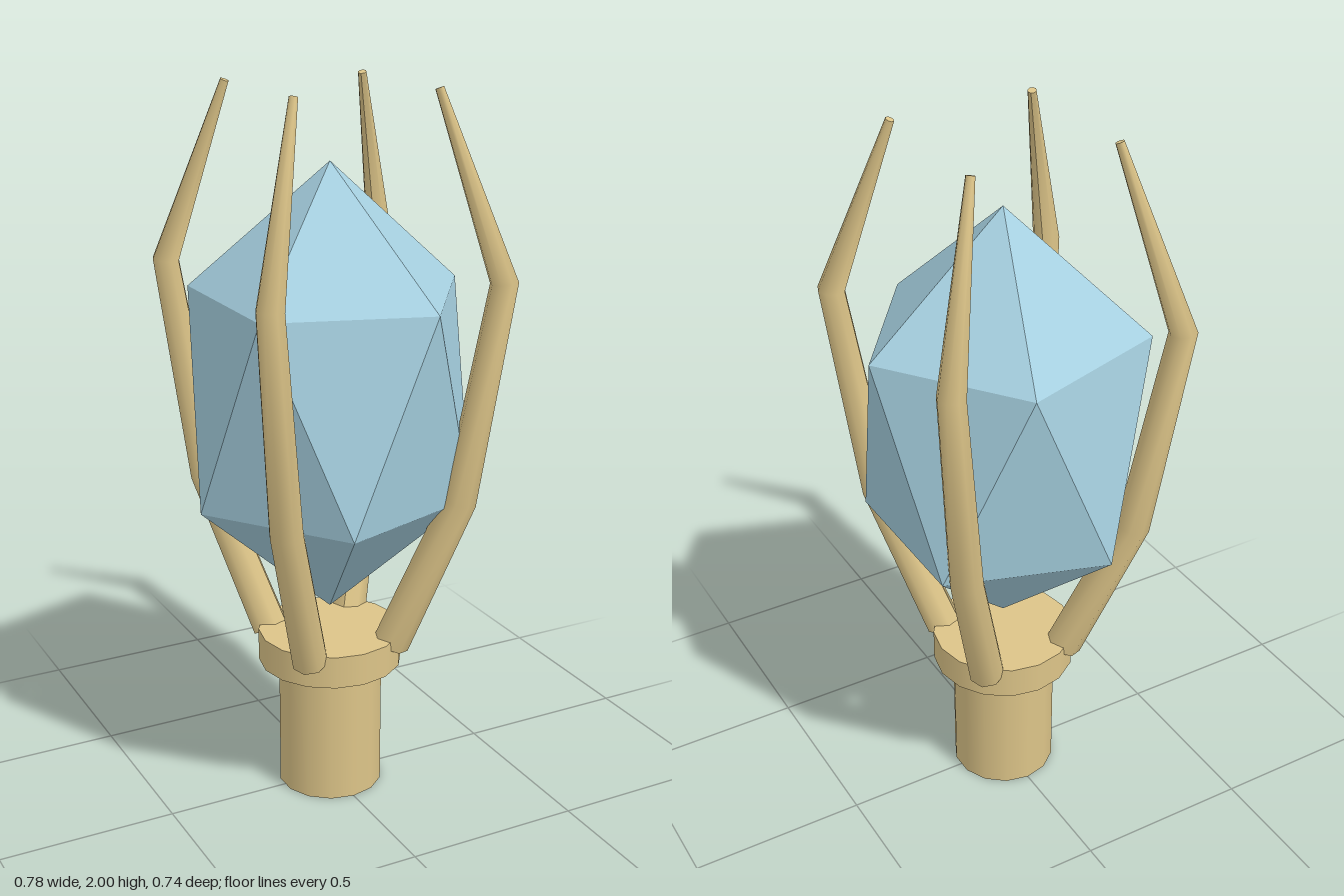
import * as THREE from 'three';

const gold = new THREE.MeshStandardMaterial({ color: 0xdcc488 });
gold.name = 'pale gold';
const blue = new THREE.MeshStandardMaterial({ color: 0xa6d0e0 });
blue.name = 'ice blue';

function addMesh(parent, name, geometry, material) {
  const mesh = new THREE.Mesh(geometry, material);
  mesh.name = name;
  parent.add(mesh);
  return mesh;
}

// Stretched icosahedron: two staggered rings of five between two tips
function crystalGeometry() {
  const ring = (y, offset) => Array.from({ length: 5 }, (_, k) => {
    const a = (k + offset) * Math.PI * 2 / 5;
    return [0.388 * Math.cos(a), y, 0.388 * Math.sin(a)];
  });
  const upper = ring(1.455, 0), lower = ring(0.886, 0.5);
  const top = [0, 1.8, 0], bottom = [0, 0.54, 0];
  const points = [];
  for (let k = 0; k < 5; k++) {
    const n = (k + 1) % 5;
    points.push(
      top, upper[n], upper[k],
      upper[k], upper[n], lower[k],
      upper[n], lower[n], lower[k],
      bottom, lower[k], lower[n]);
  }
  const g = new THREE.BufferGeometry();
  g.setAttribute('position', new THREE.Float32BufferAttribute(points.flat(), 3));
  g.computeVertexNormals(); // unshared corners give flat facets
  return g;
}

// Tapered bent prong, leaning outward along +z: [distance from axis, height, radius]
function prongGeometry() {
  const path = [[0.182, 0.45, 0.052], [0.368, 0.9, 0.047], [0.47, 1.51, 0.038], [0.288, 1.996, 0.012]];
  const g = new THREE.CylinderGeometry(1, 1, 1, 8, 3, false, Math.PI);
  const p = g.attributes.position;
  for (let i = 0; i < p.count; i++) {
    const row = Math.round((p.getY(i) + 0.5) * 3);
    const [d, h, r] = path[row];
    // Tilt each ring square to the averaged direction of its neighbours
    const unit = (a, b) => new THREE.Vector2(b[0] - a[0], b[1] - a[1]).normalize();
    const t = new THREE.Vector2();
    if (row > 0) t.add(unit(path[row - 1], path[row]));
    if (row < 3) t.add(unit(path[row], path[row + 1]));
    t.normalize();
    const out = p.getZ(i) * r;
    p.setXYZ(i, p.getX(i) * r, h - out * t.x, d + out * t.y);
  }
  g.computeVertexNormals();
  return g;
}

export function createModel() {
  const model = new THREE.Group();
  model.name = 'crystal staff head';

  // Socket
  addMesh(model, 'stem', new THREE.CylinderGeometry(0.149, 0.149, 0.4, 14), gold).position.y = 0.2;
  addMesh(model, 'collar', new THREE.CylinderGeometry(0.204, 0.204, 0.093, 16), gold).position.y = 0.427;

  // Crystal
  addMesh(model, 'crystal', crystalGeometry(), blue);

  // Four prongs on the diagonals
  const prong = prongGeometry();
  for (let i = 0; i < 4; i++) {
    addMesh(model, 'prong', prong, gold).rotation.y = Math.PI / 4 + i * Math.PI / 2;
  }
  return model;
}
